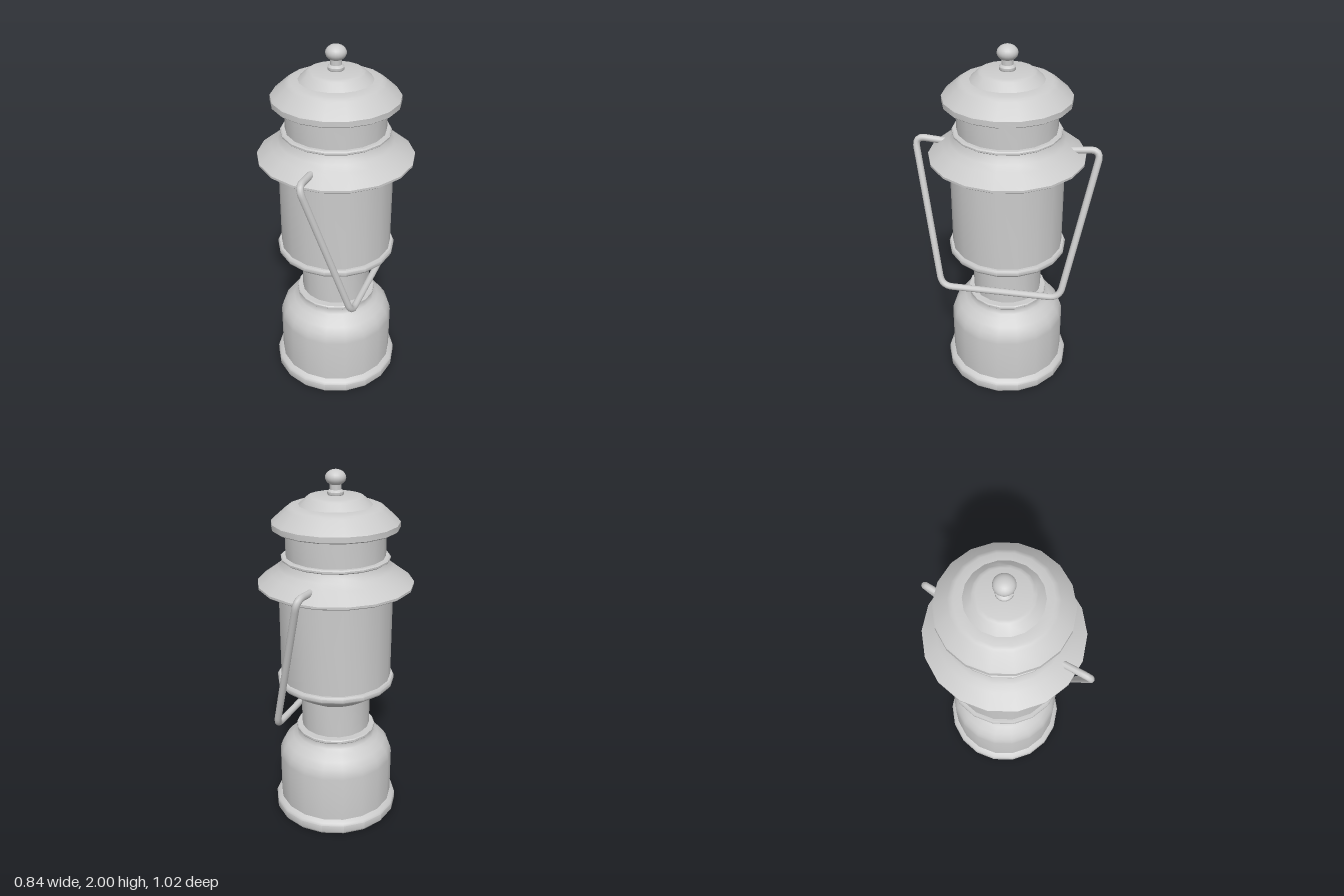
import * as THREE from 'three';
import { toCreasedNormals } from 'three/addons/utils/BufferGeometryUtils.js';

const SIDES = 18;

export function createModel() {
  const model = new THREE.Group();
  model.name = 'lantern';
  const material = new THREE.MeshStandardMaterial({ color: 0xcccccc });

  const body = new THREE.Group();
  body.name = 'body';
  body.position.z = -0.006;
  model.add(body);

  function add(parent, name, geometry) {
    const mesh = new THREE.Mesh(geometry, material);
    mesh.name = name;
    parent.add(mesh);
    return mesh;
  }

  // Turned part from [radius, height] pairs listed bottom to top, a corner on the +x axis
  function turned(name, profile, sides = SIDES) {
    const points = profile.map(([r, y]) => new THREE.Vector2(r, y));
    const geometry = new THREE.LatheGeometry(points, sides, Math.PI / 2);
    return add(body, name, toCreasedNormals(geometry, 0.62));
  }

  // Fuel tank with foot ring and rounded shoulder
  turned('fuelTank', [
    [0, 0], [0.35, 0], [0.36, 0.015], [0.36, 0.055], [0.352, 0.067], [0.33, 0.08],
    [0.33, 0.35], [0.326, 0.375], [0.315, 0.405], [0.29, 0.44], [0.25, 0.47],
    [0.227, 0.488], [0.218, 0.505], [0.218, 0.517], [0.227, 0.525], [0.227, 0.537],
    [0.222, 0.542], [0, 0.542],
  ]);

  // Burner neck between tank and globe
  turned('burnerNeck', [[0, 0.54], [0.185, 0.54], [0.185, 0.55], [0.196, 0.55], [0.196, 0.76], [0, 0.76]]);

  // Bowl and ring that carry the globe
  turned('globeSeat', [
    [0, 0.742], [0.196, 0.742], [0.285, 0.8], [0.322, 0.826], [0.33, 0.838],
    [0.33, 0.855], [0.323, 0.866], [0, 0.866],
  ]);

  // Glass globe
  turned('globe', [[0, 0.86], [0.31, 0.86], [0.31, 1.42], [0, 1.42]]);

  // Flared shade with a small collar on top
  turned('shade', [
    [0, 1.395], [0.413, 1.395], [0.421, 1.401], [0.421, 1.413], [0.345, 1.468],
    [0.308, 1.496], [0.292, 1.515], [0.284, 1.535], [0.292, 1.541], [0.292, 1.55],
    [0.285, 1.556], [0, 1.556],
  ]);

  // Chimney
  turned('chimney', [[0, 1.54], [0.267, 1.54], [0.267, 1.72], [0, 1.72]]);

  // Ventilator hood with sloping brim
  turned('hood', [
    [0, 1.702], [0.33, 1.702], [0.338, 1.708], [0.338, 1.737], [0.33, 1.745],
    [0.262, 1.805], [0.25, 1.814], [0.235, 1.82], [0.193, 1.823], [0.153, 1.86],
    [0.145, 1.866], [0.13, 1.87], [0, 1.872],
  ]);

  // Knob stem with its flange
  turned('knobStem', [
    [0, 1.868], [0.038, 1.868], [0.043, 1.876], [0.043, 1.888], [0.037, 1.895],
    [0.03, 1.899], [0.03, 1.935], [0, 1.935],
  ]);

  // Ball knob
  const knob = add(body, 'knob', new THREE.SphereGeometry(0.054, 20, 14));
  knob.scale.y = 0.76;
  knob.position.y = 1.959;

  // Wire bail, hung to one side: straight runs joined by rounded corners
  const corners = [
    [-0.005, 1.447, 0.3], [-0.005, 1.465, 0.5], [0.215, 0.643, 0.335],
    [0.215, 0.643, -0.335], [-0.005, 1.465, -0.5], [-0.005, 1.447, -0.3],
  ].map((p) => new THREE.Vector3(...p));
  const path = new THREE.CurvePath();
  let from = corners[0];
  for (let i = 1; i < corners.length - 1; i++) {
    const corner = corners[i];
    const toward = (target) => corner.clone().add(target.clone().sub(corner).setLength(0.06));
    const start = toward(corners[i - 1]);
    const end = toward(corners[i + 1]);
    path.add(new THREE.LineCurve3(from, start));
    path.add(new THREE.QuadraticBezierCurve3(start, corner, end));
    from = end;
  }
  path.add(new THREE.LineCurve3(from, corners[corners.length - 1]));
  add(model, 'bailHandle', new THREE.TubeGeometry(path, 160, 0.019, 10, false));

  return model;
}
